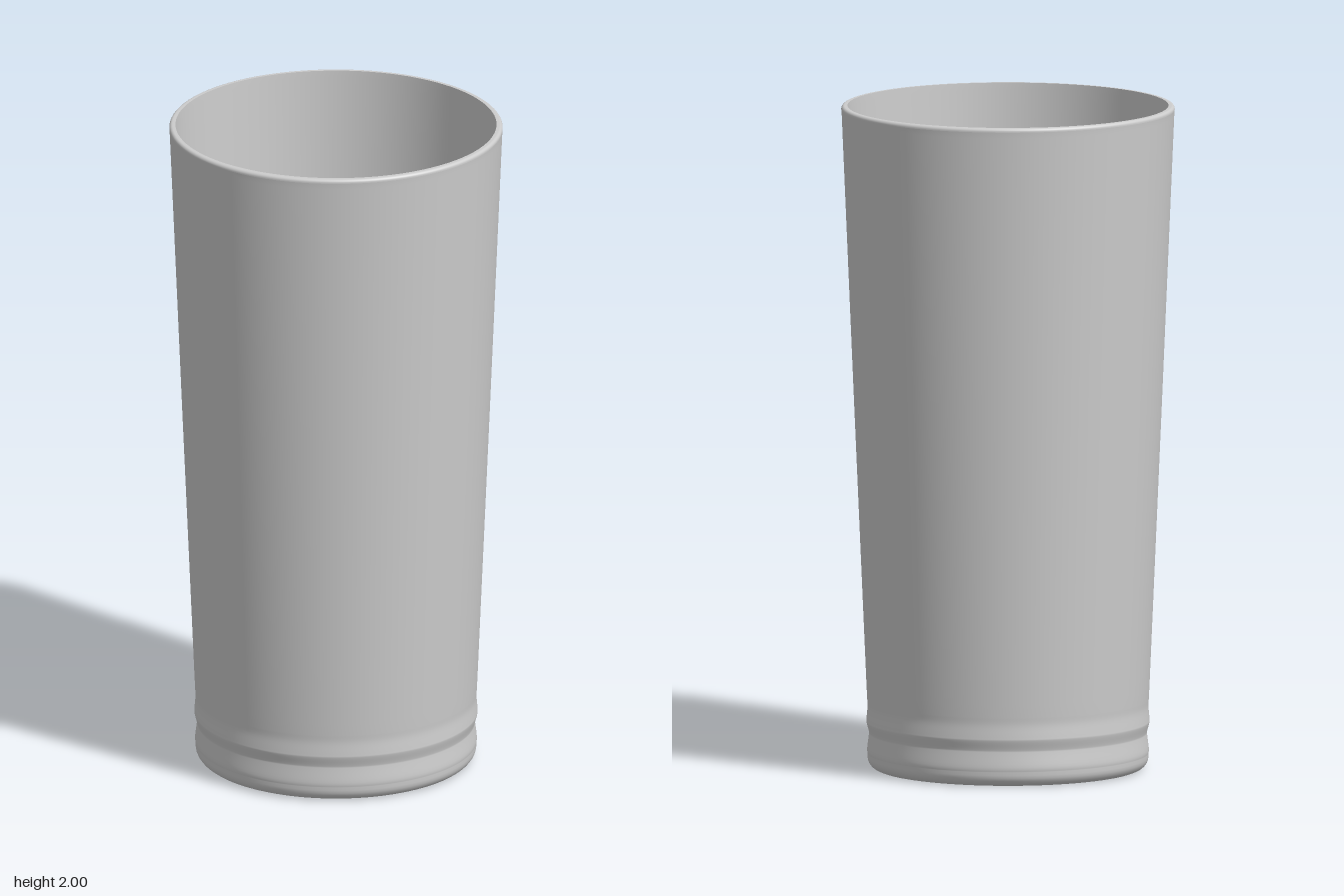
import * as THREE from 'three';

const SEGMENTS = 96;

// Revolve a profile of [radius, height] pairs about the y axis
function revolve(name, profile, material) {
  const points = profile.map(([r, y]) => new THREE.Vector2(r, y));
  const mesh = new THREE.Mesh(new THREE.LatheGeometry(points, SEGMENTS), material);
  mesh.name = name;
  return mesh;
}

// Quarter-round corner, sampled between two angles (radians)
function arc(cx, cy, radius, from, to, steps = 6) {
  return Array.from({ length: steps + 1 }, (_, i) => {
    const a = from + ((to - from) * i) / steps;
    return [cx + radius * Math.cos(a), cy + radius * Math.sin(a)];
  });
}

export function createModel() {
  const cup = new THREE.Group();
  cup.name = 'tumbler';
  const grey = new THREE.MeshStandardMaterial({ color: 0xcccccc });
  grey.name = 'light grey';

  // Shallow grooves just above the foot
  const rings = new THREE.SplineCurve([
    [0.42, 0.045], [0.421, 0.06], [0.416, 0.1], [0.416, 0.112],
    [0.423, 0.138], [0.423, 0.15], [0.42, 0.185], [0.421, 0.21],
  ].map(([r, y]) => new THREE.Vector2(r, y))).getPoints(28).map((p) => [p.x, p.y]);

  // Underside, rounded foot, grooves and tapering wall
  cup.add(revolve('outerWall', [
    [0, 0], [0.36, 0], [0.378, 0],
    ...arc(0.385, 0.035, 0.035, -Math.PI / 2, 0),
    ...rings,
    [0.423, 0.25], [0.46, 1.1], [0.497, 1.97],
    [0.4985, 1.988],
  ], grey));

  // Softly rounded lip
  cup.add(revolve('rim', [
    [0.4985, 1.988], ...arc(0.4885, 1.99, 0.01, 0.1, Math.PI / 2), [0.48, 2],
  ], grey));

  // Inner wall running down into the rounded floor
  cup.add(revolve('interior', [
    [0.48, 2], [0.479, 1.98], [0.44, 1.03], [0.403, 0.1],
    ...arc(0.362, 0.08, 0.04, 0, -Math.PI / 2),
    [0.35, 0.04], [0, 0.04],
  ], grey));

  return cup;
}
